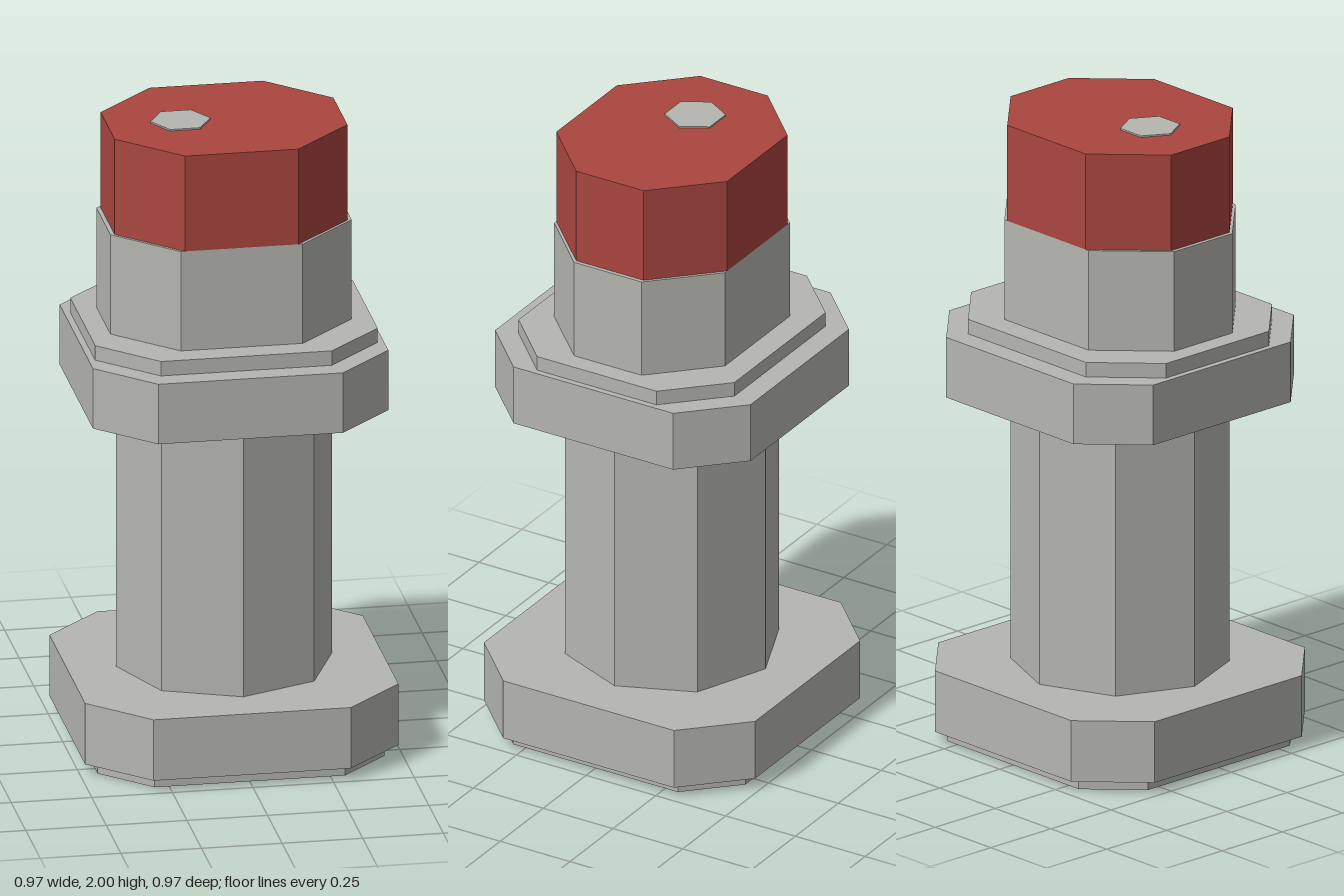
import * as THREE from 'three';

const stone = new THREE.MeshStandardMaterial({ color: 0xb6b6b0 });
stone.name = 'light grey';
const red = new THREE.MeshStandardMaterial({ color: 0xaa4640 });
red.name = 'brick red';

// Rectangle outline with 45 degree cut corners; hx, hz are half sizes
function cutRectangle(hx, hz, cut) {
  const fx = hx - cut, fz = hz - cut;
  return [
    [hx, -fz], [hx, fz], [fx, hz], [-fx, hz],
    [-hx, fz], [-hx, -fz], [-fx, -hz], [fx, -hz],
  ];
}

// Regular polygon outline with its first corner on the x axis
function polygon(sides, radius, cx = 0) {
  return Array.from({ length: sides }, (_, i) => {
    const a = (i / sides) * Math.PI * 2;
    return [cx + radius * Math.cos(a), radius * Math.sin(a)];
  });
}

// Upright flat-sided prism between two heights
function prism(name, outline, y0, y1, material) {
  const shape = new THREE.Shape(outline.map(([x, z]) => new THREE.Vector2(x, z)));
  const geometry = new THREE.ExtrudeGeometry(shape, { depth: y1 - y0, bevelEnabled: false });
  geometry.rotateX(-Math.PI / 2);
  geometry.translate(0, y0, 0);
  const mesh = new THREE.Mesh(geometry, material);
  mesh.name = name;
  return mesh;
}

export function createModel() {
  const model = new THREE.Group();
  model.name = 'pillar';
  model.add(
    // Stepped base
    prism('foot', cutRectangle(0.445, 0.445, 0.15), 0, 0.037, stone),
    prism('base', cutRectangle(0.486, 0.486, 0.18), 0.037, 0.235, stone),
    // Eight-sided shaft
    prism('column', polygon(8, 0.335), 0.235, 1.12, stone),
    // Collar with a narrower step on top
    prism('collar', cutRectangle(0.458, 0.458, 0.172), 1.12, 1.315, stone),
    prism('collarStep', cutRectangle(0.438, 0.387, 0.173), 1.315, 1.362, stone),
    // Head and red cap
    prism('neck', cutRectangle(0.374, 0.306, 0.185), 1.362, 1.685, stone),
    prism('cap', cutRectangle(0.361, 0.306, 0.185), 1.685, 1.995, red),
    // Small six-sided plate set off centre on the cap
    prism('capPlate', polygon(6, 0.093, -0.135), 1.995, 2, stone),
  );
  return model;
}
